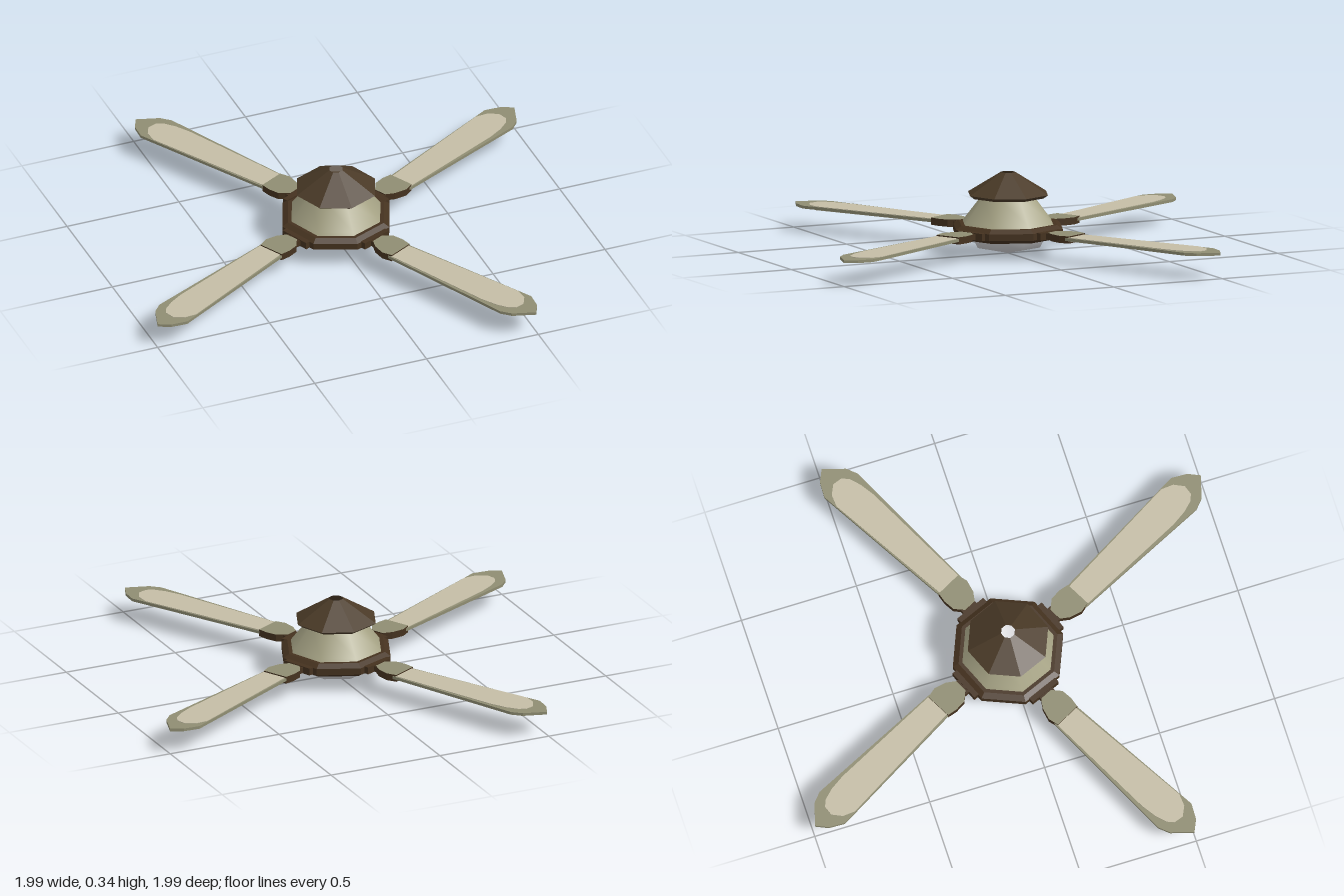
import * as THREE from 'three';

const mat = (name, color, flatShading = true) => {
  const m = new THREE.MeshStandardMaterial({ color, flatShading, side: THREE.DoubleSide });
  m.name = name;
  return m;
};

export function createModel() {
  const brown = mat('dark brown', 0x4a3a27);
  const hubBrown = mat('hub brown', 0x45321f);
  const olive = mat('olive', 0x8f8d72);
  const paleOlive = mat('pale olive', 0xa5a284, false);
  const cream = mat('cream', 0xc4bda6);
  const glass = mat('glass grey', 0xd0d0d3, false);

  const model = new THREE.Group();
  model.name = 'ceilingFan';

  const add = (parent, name, geometry, material) => {
    const mesh = new THREE.Mesh(geometry, material);
    mesh.name = name;
    parent.add(mesh);
    return mesh;
  };

  // Eight-sided open shells around the vertical axis
  const shell = (name, profile, material) =>
    add(model, name, new THREE.LatheGeometry(profile.map(p => new THREE.Vector2(...p)), 8), material);

  shell('lampGlass', [[0, 0], [0.14, 0.03], [0.16, 0.07]], glass);
  shell('hubRing', [[0.15, 0.068], [0.215, 0.07], [0.24, 0.085], [0.24, 0.113], [0.215, 0.128], [0.185, 0.128]], hubBrown);
  shell('motorHousing', [[0.2, 0.126], [0.19, 0.14], [0.112, 0.24]], paleOlive);
  shell('canopy', [[0.11, 0.238], [0.155, 0.236], [0.175, 0.25], [0.03, 0.34]], brown);

  // Flat plate from an outline given as (distance along arm, sideways)
  const plate = (points, bottom, top) => {
    const shape = new THREE.Shape(points.map(p => new THREE.Vector2(...p)));
    const g = new THREE.ExtrudeGeometry(shape, { depth: top - bottom, bevelEnabled: false });
    g.rotateX(Math.PI / 2);
    g.translate(0, top, 0);
    return g;
  };

  const bladeOutline = [
    [0.31, -0.02], [0.37, -0.034], [1.014, -0.078], [1.075, -0.045], [1.112, 0],
    [1.043, 0.074], [0.995, 0.094], [0.37, 0.086], [0.31, 0.07],
  ];
  const panelOutline = [
    [0.35, 0.025], [0.37, -0.026], [0.95, -0.07], [1.0, -0.05], [1.03, -0.012],
    [1.025, 0.03], [1.0, 0.052], [0.95, 0.068], [0.88, 0.077], [0.37, 0.081],
  ];
  const holderOutline = [
    [0.25, -0.005], [0.287, -0.037], [0.335, -0.041], [0.378, -0.034],
    [0.381, 0.08], [0.337, 0.09], [0.285, 0.075], [0.25, 0.05],
  ];

  const bladeGeo = plate(bladeOutline, 0.097, 0.109);
  const panelTop = plate(panelOutline, 0.109, 0.111);
  const panelBottom = plate(panelOutline, 0.095, 0.097);
  const holderGeo = plate(holderOutline, 0.086, 0.116);
  const bracketGeo = new THREE.BoxGeometry(0.05, 0.03, 0.14).translate(0.217, 0.1, 0);
  const neckGeo = new THREE.BoxGeometry(0.05, 0.024, 0.07).translate(0.25, 0.1, 0);

  // Four arms, each with a hub bracket and a slightly skewed blade
  for (let i = 0; i < 4; i++) {
    const arm = new THREE.Group();
    arm.name = 'arm' + (i + 1);
    arm.rotation.y = THREE.MathUtils.degToRad(22.5 + 90 * i);
    add(arm, 'bracket', bracketGeo, hubBrown);
    add(arm, 'neck', neckGeo, hubBrown);

    const blade = new THREE.Group();
    blade.name = 'blade';
    blade.rotation.y = THREE.MathUtils.degToRad(3.8);
    add(blade, 'bladeBoard', bladeGeo, olive);
    add(blade, 'bladePanelTop', panelTop, cream);
    add(blade, 'bladePanelBottom', panelBottom, cream);
    add(blade, 'bladeHolder', holderGeo, [olive, hubBrown]);
    arm.add(blade);
    model.add(arm);
  }
  return model;
}
